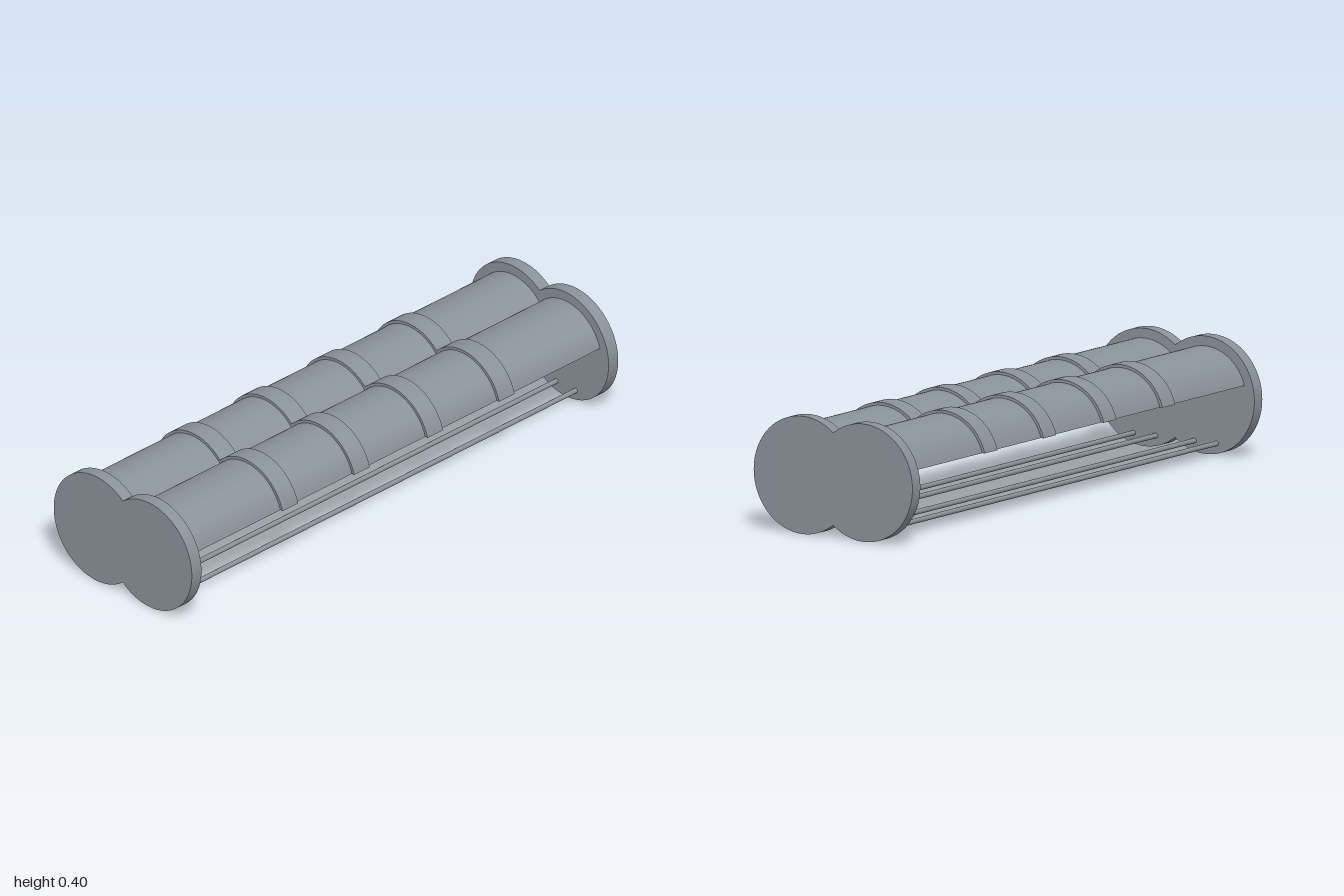
import * as THREE from 'three';
import { toCreasedNormals } from 'three/addons/utils/BufferGeometryUtils.js';

const LOBE_Z = 0.123;   // offset of each lobe's axis
const AXIS_Y = 0.199;   // height of the axes
const CUT = 0.048;      // height of the trough rims above the axes
const PLATE = 0.045;    // end plate thickness

// Extrude a cross-section along x, centred on the given x
function extrudeAlongX(shape, length, x) {
  const geo = new THREE.ExtrudeGeometry(shape, { depth: length, bevelEnabled: false, curveSegments: 48 });
  geo.translate(0, 0, -length / 2);
  geo.rotateY(Math.PI / 2);
  geo.translate(x, AXIS_Y, 0);
  return toCreasedNormals(geo, 0.5);
}

// Curved band over one lobe, with rims cut level
function archShape(z, outer, inner) {
  const a = Math.asin(CUT / outer);
  const b = Math.asin(CUT / inner);
  const s = new THREE.Shape();
  s.absarc(z, 0, outer, a, Math.PI - a, false);
  s.absarc(z, 0, inner, Math.PI - b, b, true);
  s.closePath();
  return s;
}

// Figure-eight outline of an end plate
function plateShape(radius) {
  const t = Math.acos(LOBE_Z / radius);
  const s = new THREE.Shape();
  s.absarc(LOBE_Z, 0, radius, -Math.PI + t, Math.PI - t, false);
  s.absarc(-LOBE_Z, 0, radius, t, 2 * Math.PI - t, false);
  s.closePath();
  return s;
}

export function createModel() {
  const model = new THREE.Group();
  model.name = 'twinTubeFrame';
  const steel = new THREE.MeshStandardMaterial({ color: 0x8a9299 });
  steel.name = 'steel grey';

  const add = (name, geometry) => {
    const mesh = new THREE.Mesh(geometry, steel);
    mesh.name = name;
    model.add(mesh);
    return mesh;
  };

  // End plates
  for (const side of [-1, 1]) {
    add(side > 0 ? 'leftEndPlate' : 'rightEndPlate',
      extrudeAlongX(plateShape(0.198), PLATE, side * (1 - PLATE / 2)));
  }

  const span = 2 - 2 * PLATE;
  for (const side of [-1, 1]) {
    const z = side * LOBE_Z;
    // Arched shell; the two shells cross along the centre valley
    add('shell', extrudeAlongX(archShape(z, 0.165, 0.160), span, 0));

    // Raised bands around the shell
    for (const x of [-0.508, -0.172, 0.172, 0.508]) {
      add('band', extrudeAlongX(archShape(z, 0.175, 0.162), 0.073, x));
    }

    // Pair of thin rods below each shell
    for (const offset of [-0.045, 0.045]) {
      const rod = add('rod', new THREE.CylinderGeometry(0.0085, 0.0085, span, 16));
      rod.rotation.z = Math.PI / 2;
      rod.position.set(0, 0.041, z + offset);
    }
  }

  return model;
}
